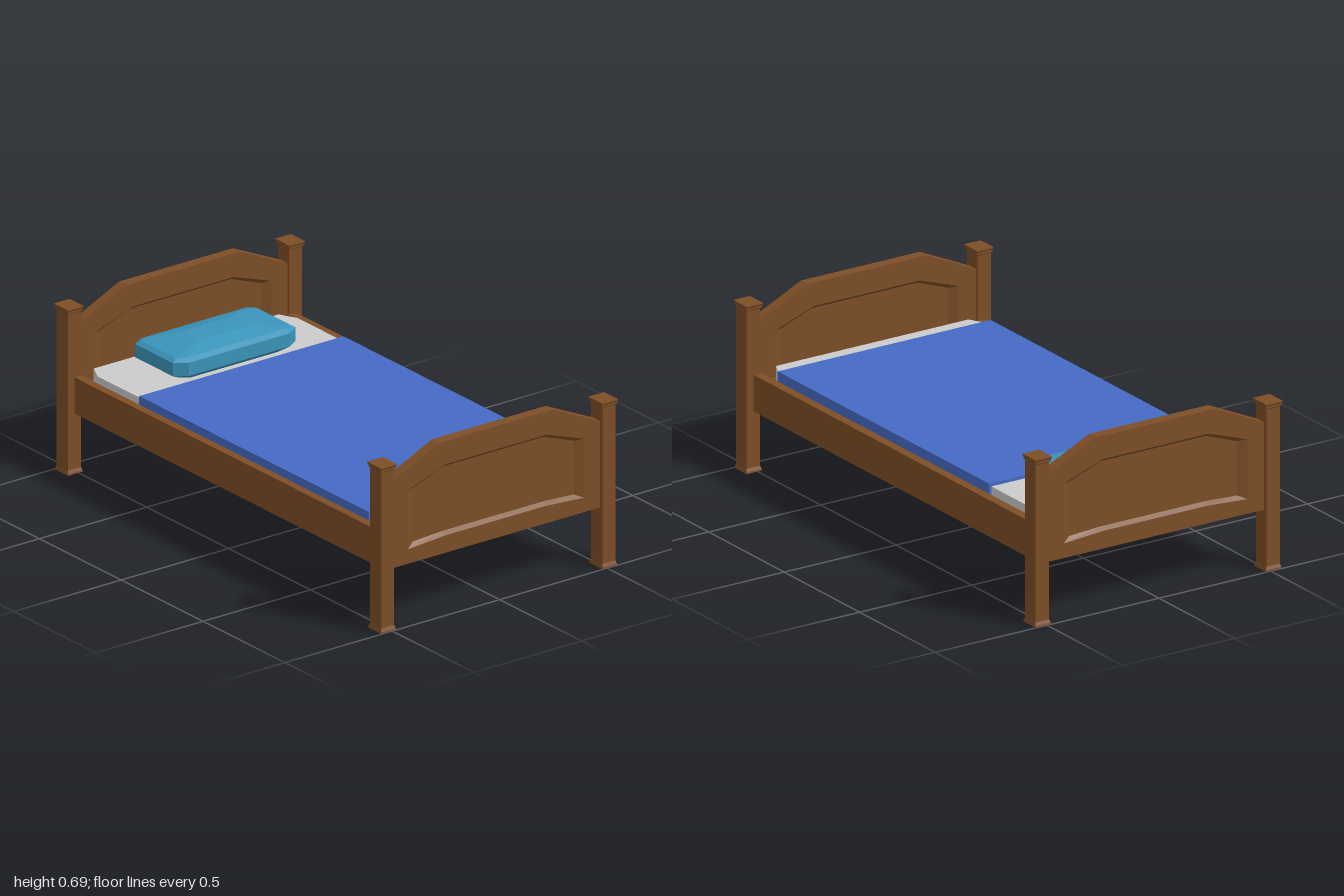
import * as THREE from 'three';

const mat = (color) => new THREE.MeshStandardMaterial({ color, flatShading: true });

// Skin a stack of counter-clockwise loops [x, y, z] rising along z, closed by a cap at the end
function loft(loops, closeStart = true) {
  const pos = [];
  const n = loops[0].length;
  const tri = (...pts) => pts.forEach((p) => pos.push(...p));
  const centre = (loop) => [0, 1, 2].map((k) => loop.reduce((s, p) => s + p[k], 0) / n);
  const first = loops[0], last = loops[loops.length - 1];
  const c0 = centre(first), c1 = centre(last);
  for (let i = 0; i < n; i++) {
    const j = (i + 1) % n;
    for (let k = 0; k + 1 < loops.length; k++) {
      const a = loops[k], b = loops[k + 1];
      tri(a[i], a[j], b[j], a[i], b[j], b[i]);
    }
    tri(c1, last[i], last[j]);
    if (closeStart) tri(c0, first[j], first[i]);
  }
  const g = new THREE.BufferGeometry();
  g.setAttribute('position', new THREE.Float32BufferAttribute(pos, 3));
  g.computeVertexNormals();
  return g;
}

// Rectangle with cut corners, half sizes w and d, corner cut cx by cd, at height h
const cutRect = (w, d, cx, cd, h) => [
  [w, -d + cd], [w, d - cd], [w - cx, d], [-w + cx, d],
  [-w, d - cd], [-w, -d + cd], [-w + cx, -d], [w - cx, -d],
].map(([x, y]) => [x, y, h]);

// Complete a right-hand outline (bottom to top) with its mirror image
const mirrored = (half) => [...half, ...half.slice().reverse().map(([x, y]) => [-x, y])];
const vectors = (pts) => pts.map(([x, y]) => new THREE.Vector2(x, y));

export function createModel() {
  const bed = new THREE.Group();
  bed.name = 'bed';
  const wood = mat(0x7d4e26), sheet = mat(0xcccccc), blue = mat(0x466ac4), teal = mat(0x3a94ba);

  const add = (parent, name, geometry, material, x = 0, y = 0, z = 0) => {
    const mesh = new THREE.Mesh(geometry, material);
    mesh.name = name;
    mesh.position.set(x, y, z);
    parent.add(mesh);
    return mesh;
  };
  const box = (name, material, [x0, x1], [y0, y1], [z0, z1]) =>
    add(bed, name, new THREE.BoxGeometry(x1 - x0, y1 - y0, z1 - z0), material,
      (x0 + x1) / 2, (y0 + y1) / 2, (z0 + z1) / 2);

  // Square posts with a flared foot and cap
  const profile = [[0, 0], [0.035, 0], [0.034, 0.006], [0.03, 0.018], [0.03, 0.642],
    [0.034, 0.646], [0.034, 0.655], [0.037, 0.66], [0.037, 0.665], [0, 0.665]];
  const postGeo = new THREE.LatheGeometry(vectors(profile.map(([r, y]) => [r * Math.SQRT2, y])), 4);
  postGeo.rotateY(Math.PI / 4);
  postGeo.scale(1, 1, 1.16);
  for (const x of [-0.515, 0.515]) {
    for (const z of [-0.957, 0.957]) {
      add(bed, (z > 0 ? 'foot' : 'head') + (x > 0 ? 'PostLeft' : 'PostRight'), postGeo, wood, x, 0, z);
    }
  }

  // End boards: arched frame with a sunken panel on both faces
  const half = 0.0225;
  const rim = mirrored([[0.235, 0.31], [0.41, 0.298], [0.41, 0.535], [0.235, 0.595]]);
  const inner = mirrored([[0.235, 0.323], [0.375, 0.315], [0.375, 0.53], [0.235, 0.581]]);
  const outline = new THREE.Shape(vectors(mirrored([[0.495, 0.24], [0.495, 0.582], [0.265, 0.688]])));
  outline.holes.push(new THREE.Path(vectors(rim)));
  const frameGeo = new THREE.ExtrudeGeometry(outline, { depth: half * 2, bevelEnabled: false });
  frameGeo.translate(0, 0, -half);
  const panelGeo = loft([rim.map((p) => [...p, half]), inner.map((p) => [...p, 0.006])], false);
  for (const side of [-1, 1]) {
    const board = new THREE.Group();
    board.name = side > 0 ? 'footboard' : 'headboard';
    board.position.z = side * 0.955;
    add(board, 'boardFrame', frameGeo, wood);
    add(board, 'panelFront', panelGeo, wood);
    add(board, 'panelBack', panelGeo, wood).rotation.y = Math.PI;
    bed.add(board);
  }

  // Side rails and base
  box('railLeft', wood, [0.479, 0.515], [0.24, 0.385], [-0.94, 0.94]);
  box('railRight', wood, [-0.515, -0.483], [0.24, 0.385], [-0.94, 0.94]);
  box('base', wood, [-0.485, 0.481], [0.24, 0.35], [-0.94, 0.94]);

  // Mattress with cut corners
  const mattress = loft([
    cutRect(0.465, 0.908, 0.035, 0.07, 0.345),
    cutRect(0.465, 0.908, 0.035, 0.07, 0.405),
  ]);
  mattress.rotateX(-Math.PI / 2);
  add(bed, 'mattress', mattress, sheet, -0.006);

  box('blanket', blue, [-0.482, 0.469], [0.345, 0.418], [-0.57, 0.83]);

  // Pillow, tapering above and below its side band
  const pillow = loft([
    cutRect(0.24, 0.115, 0.04, 0.03, 0.405),
    cutRect(0.285, 0.148, 0.05, 0.032, 0.43),
    cutRect(0.285, 0.148, 0.05, 0.032, 0.483),
    cutRect(0.265, 0.125, 0.03, 0.02, 0.495),
    cutRect(0.12, 0.056, 0.01, 0.006, 0.513),
  ]);
  pillow.rotateX(-Math.PI / 2);
  add(bed, 'pillow', pillow, teal, 0, 0, -0.737);

  return bed;
}
